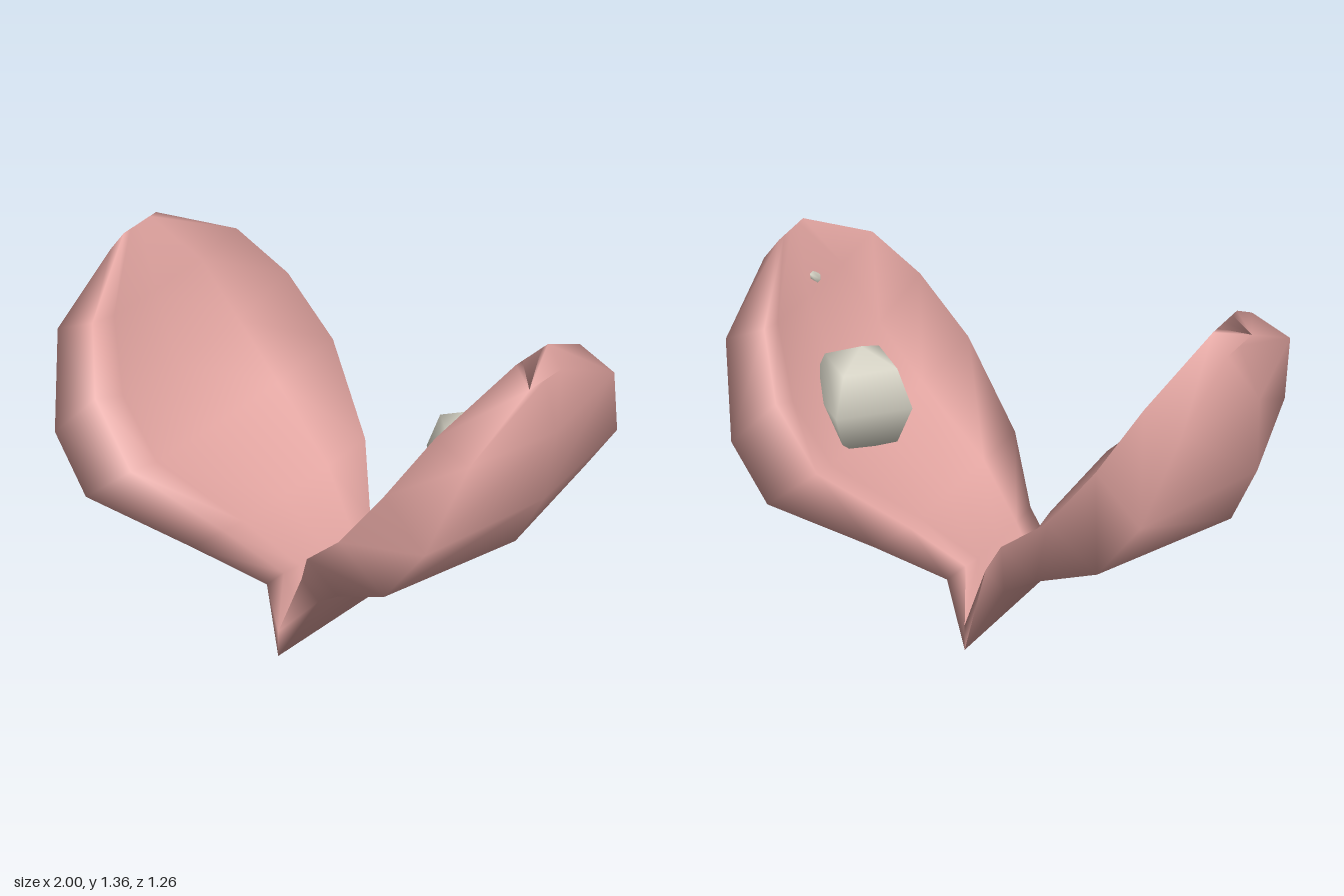
import * as THREE from 'three';
import { mergeGeometries, mergeVertices } from 'three/addons/utils/BufferGeometryUtils.js';

const HINGE_X = 0.015;

// Stations from hinge to tip: half width, then (x, y) of the rim edge,
// outer edge, outer bulge centre and inner hollow centre, plus extra bulge on the right half.
const STATIONS = [
  { w: 0.36, rim: [0.015, 0.10], edge: [0.015, 0.00], bulge: [0.015, 0.00], hollow: [0.015, 0.10], extra: 0 },
  { w: 0.27, rim: [0.055, 0.29], edge: [0.13, 0.22], bulge: [0.13, 0.22], hollow: [0.06, 0.27], extra: 0 },
  { w: 0.44, rim: [0.20, 0.49], edge: [0.34, 0.38], bulge: [0.34, 0.38], hollow: [0.25, 0.43], extra: 0 },
  { w: 0.63, rim: [0.48, 0.73], edge: [0.68, 0.565], bulge: [0.815, 0.565], hollow: [0.56, 0.62], extra: 0.1 },
  { w: 0.60, rim: [0.66, 0.96], edge: [0.84, 0.77], bulge: [0.945, 0.78], hollow: [0.72, 0.83], extra: 0.075 },
  { w: 0.45, rim: [0.78, 1.17], edge: [0.935, 1.10], bulge: [1.00, 1.07], hollow: [0.82, 1.10], extra: 0.03 },
  { w: 0.10, rim: [0.89, 1.355], edge: [0.95, 1.27], bulge: [0.95, 1.27], hollow: [0.89, 1.355], extra: 0 },
];

// Closed loop around one station: z fraction, side, and blend from edge to centre
const LOOP = [
  [1, 'edge', 0], [1, 'rim', 0],
  [0.6, 'rim', 0.8], [0, 'rim', 1], [-0.6, 'rim', 0.8],
  [-1, 'rim', 0], [-1, 'edge', 0],
  [0, 'edge', 1],
];

function halfGeometry(mirrored) {
  const positions = [];
  const index = [];
  const n = LOOP.length;
  const tri = (a, b, c) => (mirrored ? index.push(a, c, b) : index.push(a, b, c));

  for (const s of STATIONS) {
    for (const [zf, side, t] of LOOP) {
      const centre = side === 'rim' ? s.hollow : s.bulge;
      const extra = side === 'edge' && mirrored ? s.extra : 0;
      const x = THREE.MathUtils.lerp(s[side][0], centre[0] + extra, t);
      const y = THREE.MathUtils.lerp(s[side][1], centre[1], t);
      positions.push(mirrored ? 2 * HINGE_X - x : x, y, zf * s.w);
    }
  }
  // Skin between stations
  for (let i = 0; i < STATIONS.length - 1; i++) {
    for (let j = 0; j < n; j++) {
      const a = i * n + j;
      const b = i * n + ((j + 1) % n);
      tri(a, a + n, b);
      tri(b, a + n, b + n);
    }
  }
  // Blunt tip
  const last = (STATIONS.length - 1) * n;
  for (let j = 1; j < n - 1; j++) tri(last, last + j + 1, last + j);

  const geometry = new THREE.BufferGeometry();
  geometry.setAttribute('position', new THREE.Float32BufferAttribute(positions, 3));
  geometry.setIndex(index);
  return geometry;
}

export function createModel() {
  const model = new THREE.Group();
  model.name = 'openShell';

  const shellPink = new THREE.MeshStandardMaterial({ color: 0xe1a4a0 });
  shellPink.name = 'shell pink';
  const pearlCream = new THREE.MeshStandardMaterial({ color: 0xdcd9cb });
  pearlCream.name = 'pearl cream';

  // Two halves welded at the hinge, shaded smoothly across it
  const shellGeometry = mergeVertices(mergeGeometries([halfGeometry(false), halfGeometry(true)]));
  shellGeometry.computeVertexNormals();
  const shell = new THREE.Mesh(shellGeometry, shellPink);
  shell.name = 'shell';
  model.add(shell);

  // Low-poly pearl resting in the left half
  const pearl = new THREE.Mesh(new THREE.SphereGeometry(0.207, 4, 4), pearlCream);
  pearl.name = 'pearl';
  pearl.position.set(0.567, 0.78, -0.083);
  model.add(pearl);

  // Small fleck of pearl set in the hollow near the tip
  const fleck = new THREE.Mesh(new THREE.SphereGeometry(1, 4, 4), pearlCream);
  fleck.name = 'pearlFleck';
  fleck.position.set(0.832, 1.13, 0.09);
  fleck.scale.set(0.015, 0.022, 0.065);
  fleck.rotation.x = 0.64;
  model.add(fleck);

  return model;
}
